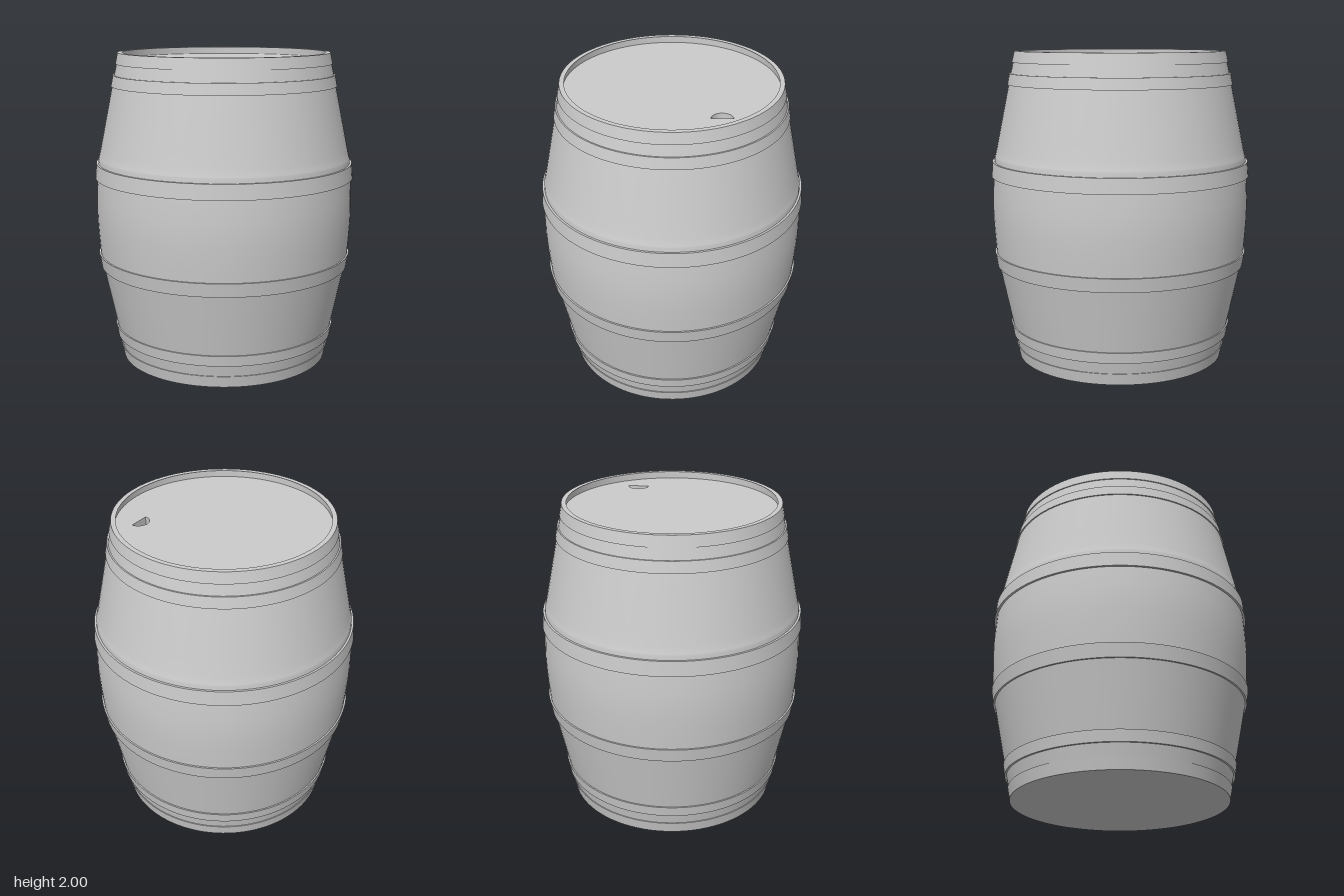
import * as THREE from 'three';
import { toCreasedNormals } from 'three/addons/utils/BufferGeometryUtils.js';

const SEGMENTS = 96;
const LID_Y = 1.954;

export function createModel() {
  const barrel = new THREE.Group();
  barrel.name = 'barrel';
  const grey = new THREE.MeshStandardMaterial({ color: 0xcccccc });

  const add = (name, geometry) => {
    const mesh = new THREE.Mesh(geometry, grey);
    mesh.name = name;
    barrel.add(mesh);
    return mesh;
  };
  const lathe = (pairs) => toCreasedNormals(
    new THREE.LatheGeometry(pairs.map(([r, y]) => new THREE.Vector2(r, y)), SEGMENTS), 0.5);

  // Bulging staves, closed at the base, with a raised rim around the lid
  const bulge = new THREE.SplineCurve([
    [0.672, 0], [0.717, 0.21], [0.802, 0.62], [0.817, 0.71], [0.833, 1],
    [0.817, 1.3], [0.802, 1.38], [0.717, 1.79], [0.672, 2],
  ].map(([r, y]) => new THREE.Vector2(r, y)));
  const wall = bulge.getPoints(32).map((p) => [p.x, p.y]);
  add('staves', lathe([[0, 0], ...wall, [0.66, 2], [0.66, LID_Y - 0.12]]));

  // Metal hoops: bottom y, bottom radius, top y, top radius
  const hoops = [
    ['bottomRimHoop', 0, 0.679, 0.075, 0.694],
    ['lowerHoop', 0.15, 0.717, 0.22, 0.728],
    ['lowerBellyHoop', 0.62, 0.813, 0.708, 0.827],
    ['upperBellyHoop', 1.205, 0.838, 1.3, 0.83],
    ['upperHoop', 1.79, 0.725, 1.86, 0.711],
    ['topRimHoop', 1.93, 0.694, 2, 0.679],
  ];
  for (const [name, y0, r0, y1, r1] of hoops) {
    const inset = 0.03;
    add(name, lathe([[r0 - inset, y0], [r0, y0], [r1, y1], [r1 - inset, y1]]));
  }

  // Recessed lid with a half-round opening near the front left
  const disc = new THREE.Shape().absarc(0, 0, 0.661, 0, Math.PI * 2);
  const opening = new THREE.Path();
  opening.moveTo(0.345, -0.432);
  opening.absarc(0.28, -0.432, 0.065, 0, Math.PI);
  opening.closePath();
  disc.holes.push(opening);
  const lid = new THREE.ExtrudeGeometry(disc, { depth: 0.1, bevelEnabled: false, curveSegments: 48 });
  lid.rotateX(-Math.PI / 2);
  add('lid', lid).position.y = LID_Y - 0.1;

  // Floor seen through the opening
  const floor = new THREE.CircleGeometry(0.661, SEGMENTS).rotateX(-Math.PI / 2);
  add('openingFloor', floor).position.y = LID_Y - 0.1;

  return barrel;
}
